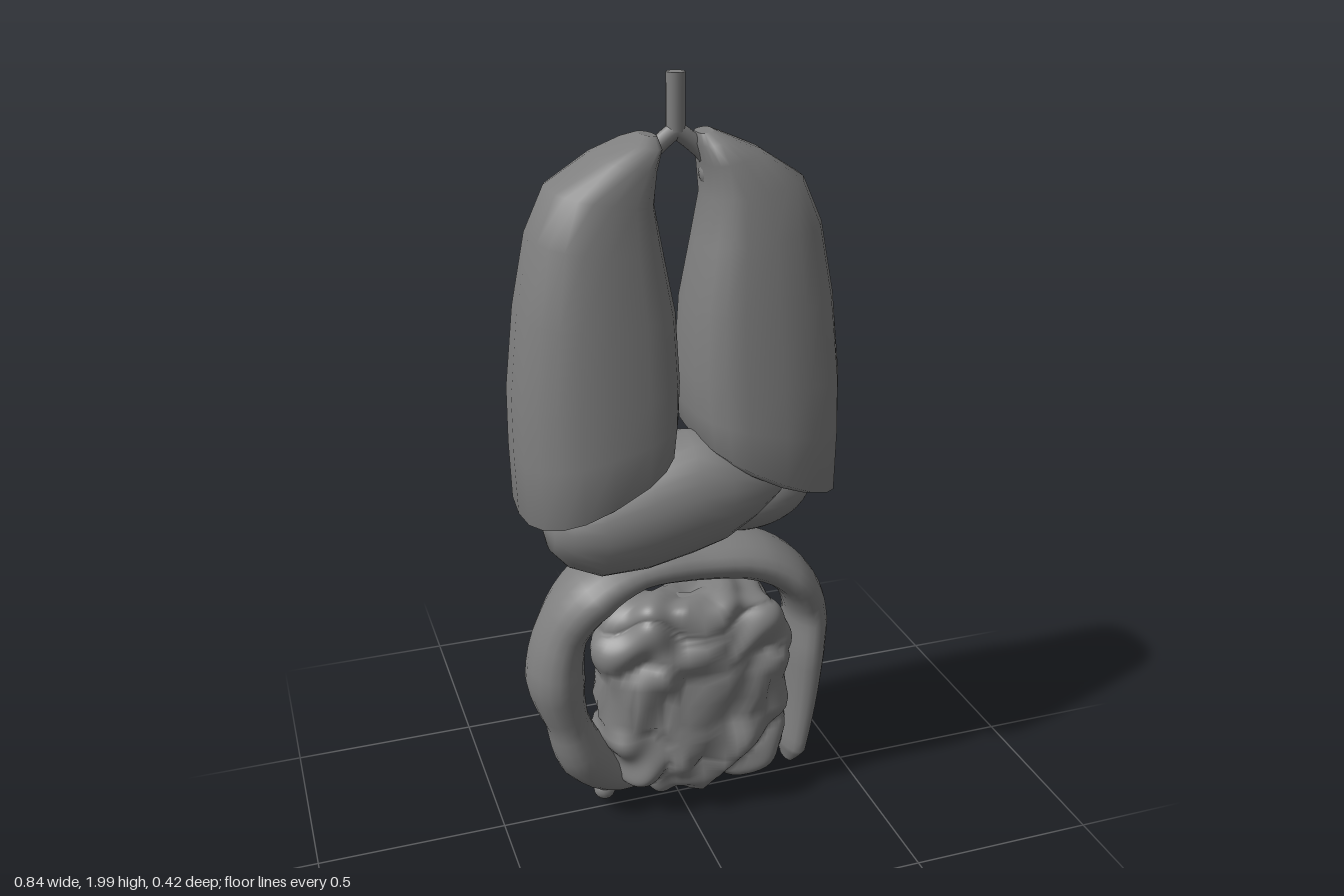
import * as THREE from 'three';

const V = (x, y, z) => new THREE.Vector3(x, y, z);

// Skin closed rings of points (counter-clockwise about the travel direction), with flat end caps
function loft(rings) {
  const n = rings[0].length, pos = [], idx = [];
  rings.forEach(r => r.forEach(p => pos.push(p.x, p.y, p.z)));
  for (let j = 0; j < rings.length - 1; j++) {
    for (let i = 0; i < n; i++) {
      const a = j * n + i, b = j * n + (i + 1) % n;
      idx.push(a, b, b + n, a, b + n, a + n);
    }
  }
  const cap = (ring, flip) => {
    const base = pos.length / 3, c = V(0, 0, 0);
    ring.forEach(p => { pos.push(p.x, p.y, p.z); c.addScaledVector(p, 1 / n); });
    pos.push(c.x, c.y, c.z);
    for (let i = 0; i < n; i++) {
      const a = base + i, b = base + (i + 1) % n;
      idx.push(base + n, flip ? b : a, flip ? a : b);
    }
  };
  cap(rings[0], true);
  cap(rings[rings.length - 1], false);
  const g = new THREE.BufferGeometry();
  g.setAttribute('position', new THREE.Float32BufferAttribute(pos, 3));
  g.setIndex(idx);
  g.computeVertexNormals();
  return g;
}

const circle = (n, f) => Array.from({ length: n }, (_, i) => f(i / n * Math.PI * 2));
const squash = (v, e) => Math.sign(v) * Math.abs(v) ** e;

// Lung: tilted rings, rounder in front, each [outer x, outer y, inner x, inner y, half depth, sag of the middle]
function lungGeometry(front) {
  const sections = [
    [0.3, 0.99, 0.12, 1.065, 0.1, 0.025], [0.385, 0.95, 0.05, 1.1, 0.185, 0.022],
    [0.412, 0.945, 0.028, 1.122, 0.211, 0.015], [0.417, 1.1, 0.018, 1.19, 0.206, 0],
    [0.417, 1.25, 0.012, 1.28, 0.19, 0], [0.395, 1.46, 0.02, 1.45, 0.168, 0],
    [0.36, 1.64, 0.048, 1.6, 0.145, 0], [0.31, 1.75, 0.068, 1.71, 0.128, 0],
    [0.2, 1.82, 0.06, 1.79, 0.107, 0], [0.125, 1.852, 0.045, 1.835, 0.08, 0],
    [0.09, 1.866, 0.05, 1.86, 0.035, 0],
  ];
  return loft(sections.map(([xo, yo, xi, yi, d, sag]) => circle(20, t => {
    const facesFront = -Math.sin(t) * front > 0, outer = Math.cos(t) > 0;
    const e = facesFront === outer ? 0.84 : 0.66;
    const c = squash(Math.cos(t), e), s = squash(Math.sin(t), e), k = (c + 1) / 2;
    return V(xi + (xo - xi) * k, yi + (yo - yi) * k - sag * (1 - c * c), -s * d);
  })));
}

// Liver: wedge lying across the body, sections [x, centre y, half height, centre z, half depth]
function liverGeometry() {
  const sections = [
    [-0.372, 0.93, 0.015, 0.06, 0.02], [-0.36, 0.925, 0.06, 0.06, 0.07],
    [-0.32, 0.92, 0.1, 0.06, 0.11], [-0.24, 0.915, 0.132, 0.06, 0.13],
    [-0.12, 0.94, 0.155, 0.06, 0.14], [0, 0.972, 0.162, 0.06, 0.14],
    [0.08, 0.982, 0.145, 0.065, 0.135], [0.16, 0.99, 0.1, 0.07, 0.11],
    [0.23, 0.995, 0.05, 0.07, 0.07], [0.26, 1.0, 0.01, 0.07, 0.015],
  ];
  return loft(sections.map(([x, y, h, z, d]) =>
    circle(28, t => V(x, y + Math.cos(t) * h, z + Math.sin(t) * d))));
}

// Large intestine: flattened tube, stations [x, y, z, radius in the frontal plane, radius in depth]
function colonGeometry() {
  const st = [
    [0.025, 0.06, -0.105, 0.05, 0.055], [-0.07, 0.075, -0.09, 0.052, 0.065],
    [-0.185, 0.11, -0.035, 0.055, 0.08], [-0.275, 0.205, 0, 0.072, 0.09],
    [-0.316, 0.32, 0, 0.058, 0.09], [-0.343, 0.455, 0, 0.078, 0.108],
    [-0.318, 0.6, 0, 0.066, 0.098], [-0.24, 0.705, 0.005, 0.068, 0.125],
    [-0.12, 0.755, 0.005, 0.052, 0.105], [0.03, 0.758, 0.005, 0.056, 0.1],
    [0.2, 0.738, 0.005, 0.062, 0.115], [0.308, 0.668, 0.005, 0.055, 0.125],
    [0.362, 0.56, 0, 0.053, 0.1], [0.36, 0.43, 0, 0.053, 0.108],
    [0.352, 0.27, 0, 0.045, 0.095], [0.335, 0.12, 0, 0.036, 0.085],
    [0.328, 0.062, 0, 0.014, 0.035],
  ];
  const path = new THREE.CatmullRomCurve3(st.map(s => V(s[0], s[1], s[2])));
  const steps = 64, rings = [];
  for (let j = 0; j <= steps; j++) {
    const u = j / steps, f = u * (st.length - 1), k = Math.min(Math.floor(f), st.length - 2);
    const radius = c => THREE.MathUtils.lerp(st[k][c], st[k + 1][c], f - k);
    const p = path.getPoint(u), t = path.getTangent(u);
    const a = V(-t.y, t.x, 0).normalize(), b = t.clone().cross(a);
    rings.push(circle(18, w => p.clone()
      .addScaledVector(a, Math.cos(w) * radius(3))
      .addScaledVector(b, Math.sin(w) * radius(4))));
  }
  return loft(rings);
}

// Small intestine: squared-off mass whose folds run across at the top and downwards at the bottom
function smallIntestineGeometry() {
  const n = 96, m = 72, rings = [];
  for (let j = 0; j <= m; j++) {
    const lat = -Math.PI / 2 + (0.005 + 0.99 * j / m) * Math.PI;
    rings.push(circle(n, t => {
      const cy = squash(Math.cos(lat), 0.45);
      const x = 0.265 * cy * squash(Math.cos(t), 0.56);
      const z = -0.12 * cy * squash(Math.sin(t), 0.56);
      const y = 0.285 * squash(Math.sin(lat), 0.52);
      const wx = x + 0.03 * Math.sin(y * 17 + z * 8), wy = y + 0.035 * Math.sin(x * 19 + 1 + z * 6);
      const k = THREE.MathUtils.smoothstep(y, -0.2, 0.02);
      const fold = Math.abs(Math.sin(26 * (wy * k + wx * (1 - k)) + 0.6));
      const lump = Math.sin(wx * 34 + z * 18) * Math.sin(wy * 27 + z * 22);
      const d = 0.02 * Math.sqrt(fold) - 0.014 + 0.017 * lump;
      const out = V(x / 0.07, y / 0.081, z / 0.0144).normalize();
      const belly = 1 + 0.12 * Math.max(0, -y / 0.285);
      // the right front corner is worn away
      const cut = Math.max(0, -x / 0.265) * Math.max(0, z / 0.12);
      return V(0.035 + x + 0.05 * cut, 0.365 + y, 0.005 + z * belly - 0.03 * cut).addScaledVector(out, d);
    }));
  }
  return loft(rings);
}

export function createModel() {
  const tissue = new THREE.MeshStandardMaterial({ color: 0x7f7f7f });
  tissue.name = 'tissueGrey';
  const model = new THREE.Group();
  model.name = 'internalOrgans';
  const add = (name, geometry, parent = model) => {
    const mesh = new THREE.Mesh(geometry, tissue);
    mesh.name = name;
    parent.add(mesh);
    return mesh;
  };

  // Windpipe with a lung and bronchus on either side
  add('windpipe', new THREE.CylinderGeometry(0.023, 0.023, 0.135, 16)).position.set(-0.007, 1.9325, 0);
  for (const [side, front] of [['left', 1], ['right', -1]]) {
    const half = new THREE.Group();
    half.name = side + 'Airway';
    half.position.x = -0.007;
    half.rotation.y = front > 0 ? 0 : Math.PI;
    add(side + 'Lung', lungGeometry(front), half);
    const branch = new THREE.CatmullRomCurve3([V(-0.006, 1.872, 0), V(0.025, 1.85, 0), V(0.065, 1.815, 0), V(0.1, 1.77, 0)]);
    add(side + 'Bronchus', new THREE.TubeGeometry(branch, 12, 0.021, 12), half);
    add(side + 'LungRoot', new THREE.SphereGeometry(0.034, 16, 12), half).position.set(0.092, 1.762, 0);
    model.add(half);
  }

  // Liver and stomach
  add('liver', liverGeometry());
  const stomach = add('stomach', new THREE.SphereGeometry(1, 32, 20));
  stomach.scale.set(0.172, 0.102, 0.13);
  stomach.position.set(0.22, 0.891, -0.07);
  stomach.rotation.z = 0.15;

  // Bowels
  add('largeIntestine', colonGeometry());
  add('smallIntestine', smallIntestineGeometry());
  add('appendix', new THREE.SphereGeometry(0.03, 16, 12)).position.set(-0.215, 0.07, 0);
  return model;
}
